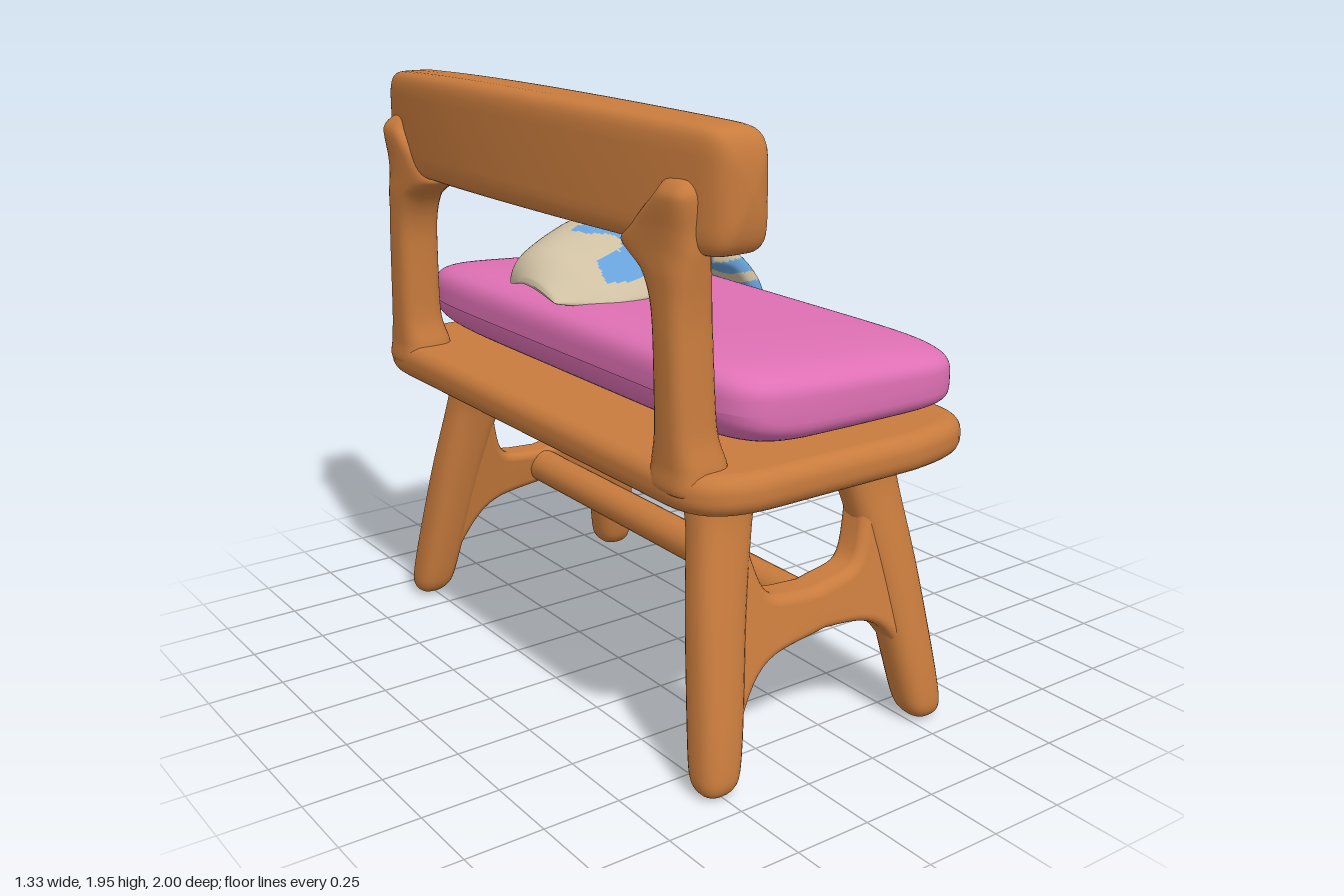
import * as THREE from 'three';
import { mergeVertices } from 'three/addons/utils/BufferGeometryUtils.js';

const V = (x, y, z) => new THREE.Vector3(x, y, z);
const material = (name, color) => Object.assign(new THREE.MeshStandardMaterial({ color }), { name });
const spow = (a, e) => Math.sign(a) * Math.pow(Math.abs(a), e);

// Smooth closed surface from rings f(u, v), v going round; pick(centre) chooses a material index
function surface(f, nu, nv, pick = () => 0) {
  const pts = [], faces = [[], []];
  for (let i = 0; i <= nu; i++) for (let j = 0; j < nv; j++) pts.push(f(i / nu, j / nv));
  let volume = 0;
  const tris = [];
  for (let i = 0; i < nu; i++) for (let j = 0; j < nv; j++) {
    const k = (j + 1) % nv, a = i * nv + j, b = i * nv + k, c = a + nv, d = b + nv;
    const m = pick(pts[a].clone().add(pts[d]).multiplyScalar(0.5));
    tris.push([m, a, c, b], [m, b, c, d]);
  }
  for (const [, a, b, c] of tris) volume += pts[a].dot(pts[b].clone().cross(pts[c]));
  for (const [m, a, b, c] of tris) faces[m].push(...(volume > 0 ? [a, b, c] : [a, c, b]));
  const g = new THREE.BufferGeometry().setFromPoints(pts);
  g.setIndex([...faces[0], ...faces[1]]);
  g.addGroup(0, faces[0].length, 0);
  g.addGroup(faces[0].length, faces[1].length, 1);
  g.computeVertexNormals();
  return g;
}

const spline = (pts) => new THREE.CatmullRomCurve3(pts, false, 'catmullrom', 0.4);

// Upright limb from stations [x, y, z, halfX, halfZ]; e shapes the section (1 = round)
function limb(stations, e, side) {
  const mid = spline(stations.map((s) => V(s[0], s[1], s[2] * side)));
  const rad = spline(stations.map((s) => V(s[3], 0, s[4])));
  return surface((u, v) => {
    const p = mid.getPoint(u), r = rad.getPoint(u), a = v * Math.PI * 2;
    return p.add(V(r.x * spow(Math.cos(a), e), 0, r.z * spow(Math.sin(a), e)));
  }, stations.length * 6, 28);
}

// Bevelled plate with smooth edges
function plate(shape, depth, bevel) {
  const g = new THREE.ExtrudeGeometry(shape, {
    depth: depth - 2 * bevel, bevelSize: bevel, bevelThickness: bevel,
    bevelOffset: -bevel, bevelSegments: 6, curveSegments: 12,
  });
  g.translate(0, 0, bevel - depth / 2);
  g.deleteAttribute('normal');
  g.deleteAttribute('uv');
  return mergeVertices(g, 1e-4);
}

// Even-odd test of a ground-plane point against an outline
function inside(outline, x, z) {
  let hit = false;
  outline.forEach(([x1, z1], i) => {
    const [x2, z2] = outline[(i + 1) % outline.length];
    if ((z1 > z) !== (z2 > z) && x < x1 + (x2 - x1) * (z - z1) / (z2 - z1)) hit = !hit;
  });
  return hit;
}

export function createModel() {
  const wood = material('wood', 0xc87b3d);
  const pink = material('pink cushion', 0xdf70b4);
  const cream = material('cream wool', 0xcfc0a3);
  const blue = material('blue wool', 0x68a2da);
  const model = new THREE.Group();
  const add = (name, geo, mat) => {
    const m = new THREE.Mesh(geo, mat);
    m.name = name;
    model.add(m);
    return m;
  };

  // Seat board with well rounded corners
  const s = new THREE.Shape();
  s.moveTo(-0.36, -1).lineTo(0.14, -1).bezierCurveTo(0.38, -0.98, 0.43, -0.92, 0.43, -0.76);
  s.lineTo(0.43, 0.76).bezierCurveTo(0.43, 0.92, 0.38, 0.98, 0.14, 1).lineTo(-0.36, 1);
  s.bezierCurveTo(-0.54, 1, -0.63, 0.94, -0.63, 0.78).lineTo(-0.63, -0.78);
  s.bezierCurveTo(-0.63, -0.94, -0.54, -1, -0.36, -1);
  const seat = plate(s, 0.12, 0.05).rotateX(Math.PI / 2).translate(0, 0.935, 0);
  seat.computeVertexNormals();
  add('seatBoard', seat, wood);

  // Cushion, thinner toward the front and lifted at the back
  add('cushion', surface((u, v) => {
    const t = (u - 0.5) * Math.PI, a = v * Math.PI * 2, r = Math.pow(Math.max(Math.cos(t), 0), 0.33);
    const x = r * spow(Math.cos(a), 0.32), z = r * spow(Math.sin(a), 0.23), h = spow(Math.sin(t), 0.5);
    const lift = h < 0 ? 0.06 * Math.max(0, -x) ** 4 : 0;
    return V(-0.033 + 0.456 * x, 1.12 - 0.014 * x + h * (0.125 - 0.018 * x) + lift, 0.945 * z);
  }, 40, 96), pink);

  // Bowed top rail
  add('backRail', surface((u, v) => {
    const q = Math.sin((u - 0.5) * Math.PI), a = v * Math.PI * 2;
    const k = Math.sqrt(Math.max(0, 1 - Math.abs(q) ** 44));
    return V(-0.57 + 0.11 * q * q + k * (0.1 - 0.012 * q * q) * spow(Math.cos(a), 0.4),
      1.78 - 0.032 * q * q + k * (0.174 - 0.002 * q * q) * spow(Math.sin(a), 0.34), 0.965 * q);
  }, 80, 40), wood);

  for (const side of [1, -1]) {
    const label = side > 0 ? 'Left' : 'Right';
    // Back post flaring into seat and rail
    add('backPost' + label, limb([
      [-0.54, 0.92, 0.8, 0, 0], [-0.54, 0.93, 0.8, 0.088, 0.1], [-0.54, 1.0, 0.8, 0.088, 0.1],
      [-0.552, 1.1, 0.8, 0.076, 0.077], [-0.555, 1.36, 0.79, 0.074, 0.07], [-0.555, 1.46, 0.78, 0.072, 0.08],
      [-0.555, 1.53, 0.76, 0.072, 0.105], [-0.555, 1.59, 0.71, 0.07, 0.16], [-0.55, 1.65, 0.74, 0.075, 0.13],
      [-0.555, 1.74, 0.8, 0.072, 0.075], [-0.55, 1.78, 0.8, 0.045, 0.05], [-0.55, 1.79, 0.8, 0, 0],
    ], 0.65, side), wood);

    // Splayed legs with round feet, widening under the seat
    for (const [name, x0, x1] of [['frontLeg', 0.305, 0.195], ['backLeg', -0.51, -0.375]]) {
      const at = (y) => x0 + (x1 - x0) * y / 0.86;
      const inward = x1 > 0 ? -1 : 1;
      add(name + label, limb([
        [at(0), 0, 0.88, 0, 0], [at(0), 0.015, 0.88, 0.045, 0.045], [at(0.06), 0.06, 0.872, 0.068, 0.07],
        [at(0.2), 0.2, 0.845, 0.077, 0.076], [at(0.5), 0.5, 0.782, 0.086, 0.077],
        [at(0.74) + inward * 0.012, 0.74, 0.728, 0.096, 0.078],
        [at(0.83) + inward * 0.018, 0.83, 0.7, 0.106, 0.095], [at(0.88) + inward * 0.035, 0.885, 0.665, 0.14, 0.135],
        [at(0.9), 0.91, 0.665, 0, 0],
      ], 0.8, side), wood);
    }

    // Side stretcher with arched edges, leaning with the legs
    const b = new THREE.Shape();
    b.moveTo(-0.5, 0.16).lineTo(-0.42, 0.18).bezierCurveTo(-0.32, 0.38, -0.28, 0.355, -0.07, 0.385);
    b.bezierCurveTo(0.14, 0.375, 0.16, 0.36, 0.26, 0.16).lineTo(0.32, 0.16).lineTo(0.24, 0.74).lineTo(0.14, 0.74);
    b.bezierCurveTo(0.07, 0.5, 0.09, 0.55, -0.09, 0.515).bezierCurveTo(-0.29, 0.53, -0.27, 0.5, -0.33, 0.74);
    b.lineTo(-0.42, 0.74).closePath();
    const brace = plate(b, 0.12, 0.03), p = brace.attributes.position;
    for (let i = 0; i < p.count; i++) p.setZ(i, p.getZ(i) + side * (0.88 - 0.205 * p.getY(i)));
    brace.computeVertexNormals();
    add('sideStretcher' + label, brace, wood);
  }
  const bar = add('longStretcher', new THREE.CylinderGeometry(0.06, 0.06, 1.54, 20), wood);
  bar.rotation.x = Math.PI / 2;
  bar.position.set(-0.09, 0.45, 0);

  // Folded scarf: sheet arched between two edge curves, fullest toward its far edge
  const left = spline([V(-0.46, 1.29, -0.25), V(-0.42, 1.27, -0.36), V(-0.2, 1.26, -0.53),
    V(0, 1.26, -0.67), V(0.12, 1.28, -0.73), V(0.18, 1.31, -0.7)]);
  const right = spline([V(-0.46, 1.27, -0.02), V(-0.27, 1.255, 0.055), V(-0.04, 1.265, 0),
    V(0.2, 1.365, -0.2), V(0.41, 1.325, -0.45), V(0.43, 1.325, -0.55)]);
  const arch = spline([0.02, 0.11, 0.155, 0.115, 0.085, 0.05].map((h) => V(0, h, 0)));
  const fold = (thick, drop, inset, start) => (u, v) => {
    const a = v * Math.PI * 2, t = 0.5 - 0.5 * Math.cos(a), w = inset + t * (1 - 2 * inset);
    const q = start + u * (1 - inset - start);
    const pt = left.getPoint(q).lerp(right.getPoint(q), w);
    pt.y += arch.getPoint(q).y * 3 * Math.pow(w, 0.6) * Math.pow(1 - w, 1.1) - drop;
    pt.y += thick * spow(Math.sin(a), 0.75) * Math.pow(Math.max(0, Math.sin(Math.PI * u)), 0.3);
    return pt;
  };
  // Blue patch on the sheet
  const outline = [[-0.24, -0.27], [-0.19, -0.3], [-0.13, -0.3], [-0.09, -0.24], [0.07, -0.24], [0.08, -0.19],
    [0.03, -0.08], [-0.07, -0.07], [-0.12, -0.02], [-0.2, 0], [-0.28, 0], [-0.26, -0.09], [-0.15, -0.12],
    [-0.1, -0.17], [-0.13, -0.21], [-0.2, -0.22]];
  add('scarfFold', surface(fold(0.036, 0, 0, 0), 130, 130, (c) => (inside(outline, c.x, c.z) ? 1 : 0)), [cream, blue]);
  // Layer beneath, blue beside the hanging end and cream at the far end
  add('scarfInnerFold', surface(fold(0.045, 0.065, 0.03, 0.4), 50, 50, (c) => (c.z < -0.5 ? 1 : 0)), [blue, cream]);
  // Rolled lip along the far end of the sheet
  const lip = spline([V(0.13, 1.3, -0.7), V(0.22, 1.335, -0.655), V(0.33, 1.345, -0.6), V(0.42, 1.325, -0.53)]);
  add('scarfLip', surface((u, v) => {
    const a = v * Math.PI * 2, r = 0.038 * Math.pow(Math.max(0, Math.sin(Math.PI * u)), 0.4);
    return lip.getPoint(u).add(V(0.45 * r * Math.cos(a), r * Math.sin(a), -0.89 * r * Math.cos(a)));
  }, 24, 16), cream);

  // Hanging scarf end with thin wavy stripes
  const path = spline([V(-0.15, 1.28, -0.2), V(0.05, 1.29, -0.28), V(0.25, 1.3, -0.35), V(0.41, 1.255, -0.37),
    V(0.495, 1.16, -0.36), V(0.55, 1.0, -0.345), V(0.605, 0.87, -0.33)]);
  const stripes = [1.275, 1.2, 1.1, 1.015];
  const striped = (c) => (c.y < 0.93 || (c.x > 0.3
    && stripes.some((y) => Math.abs(c.y - y - 0.012 * Math.sin(c.z * 22 + y * 30)) < 0.018)) ? 1 : 0);
  add('scarfTail', surface((u, v) => {
    const c = path.getPoint(u), t = path.getTangent(u), a = v * Math.PI * 2;
    const k = Math.pow(Math.max(0, Math.sin(Math.PI * u)), 0.15);
    const n = V(-t.y, t.x, 0).normalize().multiplyScalar(0.046 * k * spow(Math.sin(a), 0.7));
    return c.add(n).add(V(0, 0, k * 0.158 * spow(Math.cos(a), 0.7)));
  }, 150, 48, striped), [blue, cream]);

  // Fringe, fanned sideways and slightly staggered in depth
  for (let i = 0; i < 7; i++) {
    const f = i / 6, za = -0.2 - 0.26 * f, zb = -0.17 - 0.32 * f, dx = i % 2 ? 0.014 : -0.014;
    const strand = new THREE.CatmullRomCurve3([V(0.575, 0.94, za), V(0.6 + dx, 0.87, (za + zb) / 2),
      V(0.622 + dx, 0.83 - 0.045 * f - 0.015 * (i % 2), zb)]);
    add('fringe' + (i + 1), new THREE.TubeGeometry(strand, 8, 0.027, 10), cream);
    add('fringeTip' + (i + 1), new THREE.SphereGeometry(0.028, 12, 8), cream).position.copy(strand.getPoint(1));
  }
  return model;
}
